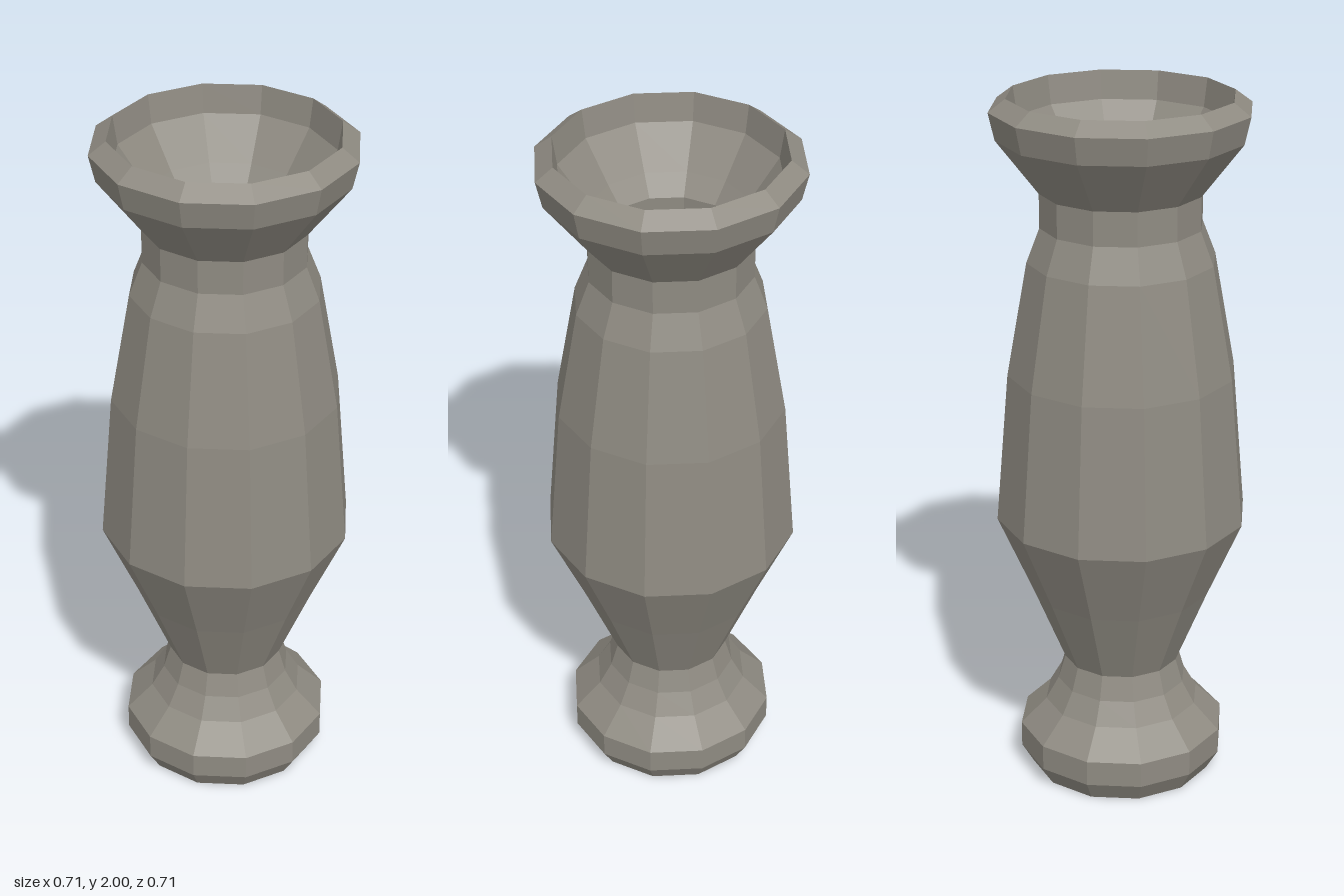
import * as THREE from 'three';

const SIDES = 12;

// Faceted turned surface: profile points are [radius, height], outside runs upwards
function turned(name, profile, material) {
  const points = profile.map(([r, y]) => new THREE.Vector2(r, y));
  const geometry = new THREE.LatheGeometry(points, SIDES).toNonIndexed();
  geometry.computeVertexNormals();
  const mesh = new THREE.Mesh(geometry, material);
  mesh.name = name;
  return mesh;
}

export function createModel() {
  const group = new THREE.Group();
  group.name = 'vase';
  const stone = new THREE.MeshStandardMaterial({ color: 0x8f8b82 });
  stone.name = 'grey stone';

  // Foot with closed underside, flaring in to the waist
  group.add(turned('foot', [
    [0, 0], [0.265, 0], [0.3, 0.06], [0.3, 0.135], [0.225, 0.21], [0.188, 0.275], [0.167, 0.345],
  ], stone));

  // Tall body, widest at the lower shoulder
  group.add(turned('body', [
    [0.167, 0.345], [0.258, 0.57], [0.357, 0.8], [0.32, 1.23], [0.262, 1.55], [0.225, 1.645],
  ], stone));

  // Neck and flared lip with a bevelled edge
  group.add(turned('neck', [[0.225, 1.645], [0.225, 1.74]], stone));
  group.add(turned('lip', [[0.225, 1.74], [0.34, 1.89], [0.357, 1.965], [0.31, 2]], stone));

  // Hollow inside, running down from the rim to the floor
  group.add(turned('hollow', [
    [0.31, 2], [0.298, 1.92], [0.22, 1.81], [0.178, 1.755], [0.178, 1.63], [0.215, 1.53],
    [0.275, 1.22], [0.31, 0.81], [0.213, 0.58], [0.123, 0.345], [0.145, 0.26], [0.18, 0.19],
    [0.23, 0.12], [0.23, 0.06], [0, 0.06],
  ], stone));

  return group;
}
